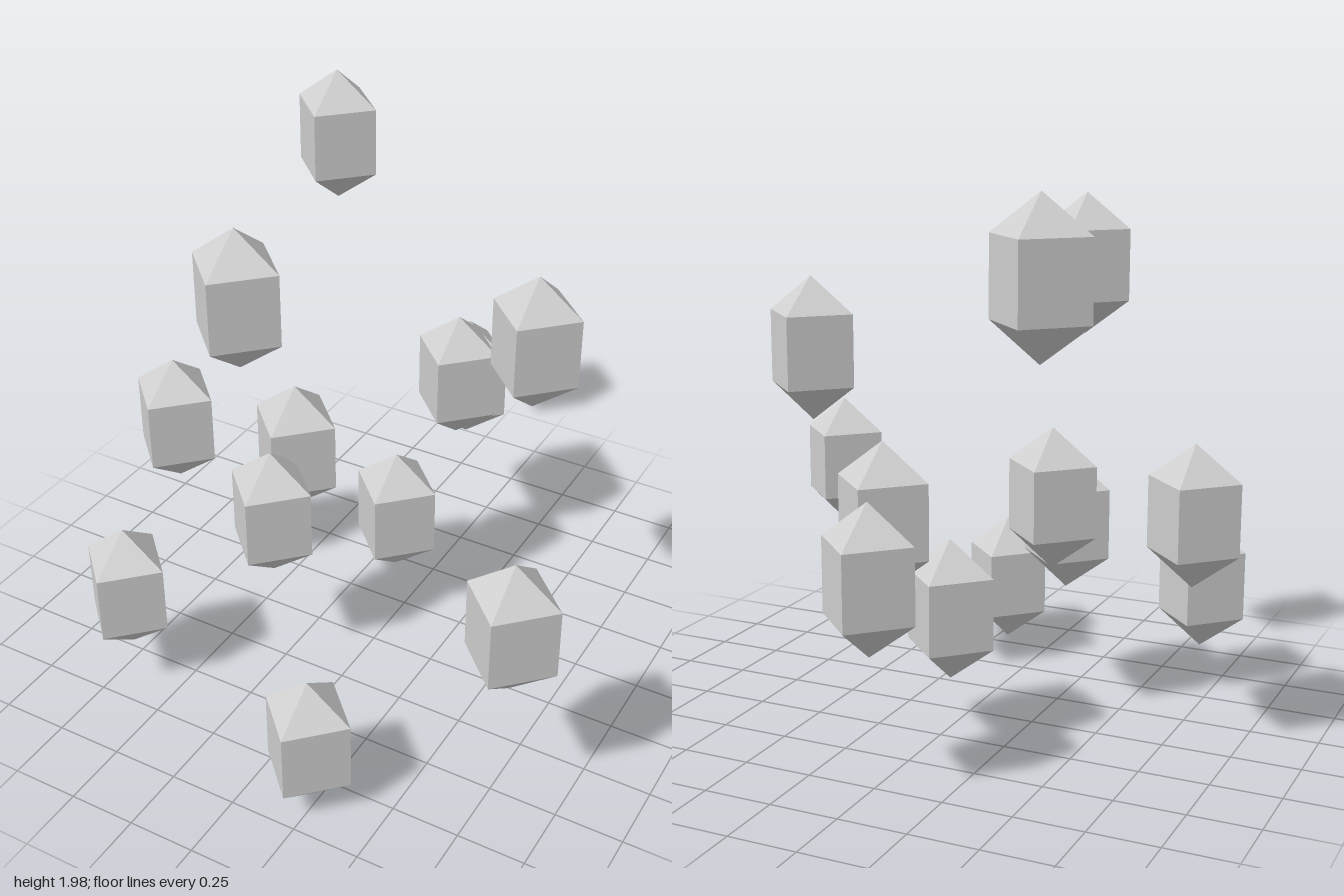
import * as THREE from 'three';

export function createModel() {
  const model = new THREE.Group();
  model.name = 'floatingCrystals';

  const stone = new THREE.MeshStandardMaterial({ color: 0xd0d0d0, flatShading: true });
  stone.name = 'light grey';

  // Four-sided prism with a pointed cap at each end, corners on the x and z axes
  const radius = 0.168, shoulder = 0.13, tip = 0.258;
  const profile = [[0, -tip], [radius, -shoulder], [radius, shoulder], [0, tip]]
    .map(([r, y]) => new THREE.Vector2(r, y));
  const crystalGeometry = new THREE.LatheGeometry(profile, 4).toNonIndexed();
  crystalGeometry.computeVertexNormals();

  // Centre of each crystal
  const centres = [
    [-0.573, 1.732, -0.732],
    [-0.033, 0.758, -0.832],
    [0.03, 0.903, -0.608],
    [-0.028, 0.478, -0.224],
    [0.509, 1.375, -0.232],
    [-0.812, 0.83, 0.093],
    [-0.3, 0.848, 0.052],
    [-0.264, 0.706, 0.285],
    [-0.274, 1.647, 0.422],
    [-0.69, 0.428, 0.62],
    [0.807, 0.778, 0.52],
    [0.213, 0.265, 0.832],
  ];
  centres.forEach((c, i) => {
    const crystal = new THREE.Mesh(crystalGeometry, stone);
    crystal.name = `crystal${i + 1}`;
    crystal.position.set(...c);
    model.add(crystal);
  });

  return model;
}
